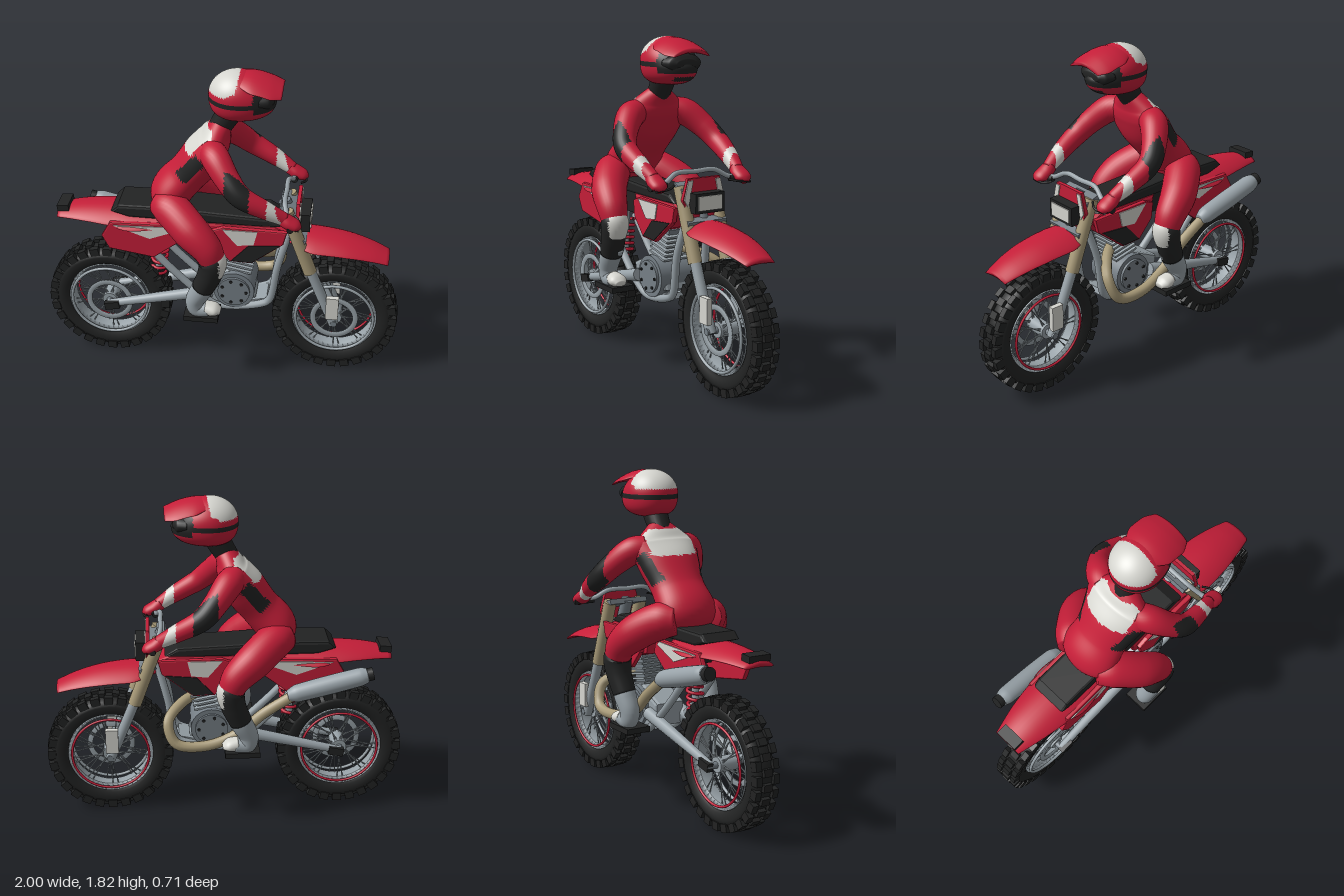
import * as THREE from 'three';
import { mergeGeometries, mergeVertices } from 'three/addons/utils/BufferGeometryUtils.js';

const V = (x, y, z = 0) => new THREE.Vector3(x, y, z);
const mat = (name, color) => {
  const m = new THREE.MeshStandardMaterial({ color });
  m.name = name;
  return m;
};

export function createModel() {
  const red = mat('red', 0xc41e38), black = mat('black', 0x222323), white = mat('white', 0xd6d6d0);
  const grey = mat('metal grey', 0x98a2a8), tan = mat('tan', 0xa89a78), steel = mat('dark steel', 0x767f86);
  const model = new THREE.Group();
  const add = (name, geo, material, parent = model) => {
    const m = new THREE.Mesh(geo, material);
    m.name = name;
    parent.add(m);
    return m;
  };
  const box = (w, h, d, x, y, z, rot = 0) => new THREE.BoxGeometry(w, h, d).rotateZ(rot).translate(x, y, z);
  const rod = (a, b, r, r2 = r, n = 14) => {
    const d = b.clone().sub(a);
    return new THREE.CylinderGeometry(r2, r, d.length(), n)
      .applyQuaternion(new THREE.Quaternion().setFromUnitVectors(V(0, 1, 0), d.clone().normalize()))
      .translate((a.x + b.x) / 2, (a.y + b.y) / 2, (a.z + b.z) / 2);
  };
  const tube = (pts, r, n = 40) =>
    new THREE.TubeGeometry(new THREE.CatmullRomCurve3(pts.map(p => V(...p))), n, r, 10);
  const disc = (r, d, x, y, z, n = 28) => new THREE.CylinderGeometry(r, r, d, n).rotateX(Math.PI / 2).translate(x, y, z);
  // Lathe about the z axis from [radius, z] points
  const turn = (pts, n = 48) =>
    new THREE.LatheGeometry(pts.map(p => new THREE.Vector2(...p)), n).rotateX(Math.PI / 2);
  // Flat side profile, extruded in z around zc
  const plate = (pts, depth, zc, bevel = 0) => {
    const s = new THREE.Shape(pts.map(p => new THREE.Vector2(...p)));
    return new THREE.ExtrudeGeometry(s, { depth: depth - 2 * bevel, bevelEnabled: bevel > 0, bevelSize: bevel,
      bevelThickness: bevel, bevelOffset: -bevel, bevelSegments: 2 }).translate(0, 0, zc - depth / 2 + bevel);
  };
  // Smooth body through sections [x, y, z, sideways radius, in-plane radius]
  const loft = (secs, steps = 32, n = 28) => {
    const path = new THREE.CatmullRomCurve3(secs.map(s => V(s[0], s[1], s[2])));
    const size = new THREE.CatmullRomCurve3(secs.map(s => V(s[3], s[4] ?? s[3], 0)));
    const pos = [], idx = [];
    for (let i = 0; i <= steps; i++) {
      const p = path.getPoint(i / steps), t = path.getTangent(i / steps), r = size.getPoint(i / steps);
      const u = V(0, 0, 1).addScaledVector(t, -t.z).normalize(), v = t.clone().cross(u);
      for (let j = 0; j < n; j++) {
        const a = (j / n) * 2 * Math.PI;
        pos.push(...p.clone().addScaledVector(u, r.x * Math.cos(a)).addScaledVector(v, r.y * Math.sin(a)).toArray());
        const k = i * n + j, k1 = i * n + (j + 1) % n;
        if (i < steps) idx.push(k, k1, k + n, k1, k1 + n, k + n);
      }
    }
    const end = pos.length / 3;
    pos.push(...path.getPoint(0).toArray(), ...path.getPoint(1).toArray());
    for (let j = 0; j < n; j++) {
      const j1 = (j + 1) % n, b = steps * n;
      idx.push(end, j1, j, end + 1, b + j, b + j1);
    }
    const g = new THREE.BufferGeometry();
    g.setAttribute('position', new THREE.Float32BufferAttribute(pos, 3));
    g.setIndex(idx);
    g.computeVertexNormals();
    return g;
  };
  const reshape = (g, rule) => {
    const p = g.attributes.position;
    for (let i = 0; i < p.count; i++) p.setXYZ(i, ...rule(p.getX(i), p.getY(i), p.getZ(i)));
    g.computeVertexNormals();
    return g;
  };
  // Sort faces into material groups by their centre
  const paint = (geo, count, rule) => {
    const p = geo.attributes.position, ix = geo.index.array, bins = Array.from({ length: count }, () => []);
    for (let i = 0; i < ix.length; i += 3) {
      const f = [ix[i], ix[i + 1], ix[i + 2]];
      const c = ['getX', 'getY', 'getZ'].map(k => f.reduce((s, v) => s + p[k](v) / 3, 0));
      bins[rule(...c)].push(...f);
    }
    geo.setIndex(bins.flat());
    let start = 0;
    bins.forEach((b, i) => { geo.addGroup(start, b.length, i); start += b.length; });
    return geo;
  };

  // Wheels
  const makeWheel = (name, x) => {
    const w = new THREE.Group();
    w.name = name;
    w.position.set(x, 0.355, 0);
    model.add(w);
    add('tyre', turn([[0.232, -0.045], [0.255, -0.063], [0.29, -0.069], [0.318, -0.06], [0.334, -0.03], [0.334, 0.03],
      [0.318, 0.06], [0.29, 0.069], [0.255, 0.063], [0.232, 0.045], [0.232, -0.045]]), black, w);
    const knobs = [], spokes = [];
    for (let i = 0; i < 28; i++) {
      const a = (i / 28) * 2 * Math.PI;
      for (const s of [-1, 1]) knobs.push(box(0.05, 0.045, 0.034, 0, 0.327, s * 0.053).rotateZ(a));
      knobs.push(box(0.04, 0.03, 0.05, 0, 0.339, 0).rotateZ(a + Math.PI / 28));
    }
    for (let i = 0; i < 18; i++) for (const s of [-1, 1]) {
      const a = ((i + s * 0.25) / 18) * 2 * Math.PI, b = a + (i % 2 ? 0.25 : -0.25);
      spokes.push(rod(V(0.035 * Math.cos(a), 0.035 * Math.sin(a), s * 0.05),
        V(0.222 * Math.cos(b), 0.222 * Math.sin(b), s * 0.025), 0.0035, 0.0035, 5));
    }
    add('treadKnobs', mergeGeometries(knobs), black, w);
    add('spokes', mergeGeometries(spokes), grey, w);
    add('rim', turn([[0.215, -0.03], [0.238, -0.06], [0.238, 0.06], [0.215, 0.03], [0.215, -0.03]]), grey, w);
    add('leftRimRing', new THREE.TorusGeometry(0.219, 0.009, 8, 56).translate(0, 0, 0.072), grey, w);
    add('rightRimRing', new THREE.TorusGeometry(0.215, 0.007, 8, 56).translate(0, 0, -0.072), red, w);
    add('hub', disc(0.042, 0.13, 0, 0, 0), grey, w);
    add('brakeDisc', turn([[0.105, 0.06], [0.135, 0.06], [0.135, 0.07], [0.105, 0.07], [0.105, 0.06]]), grey, w);
    add('axle', disc(0.018, 0.26, 0, 0, 0), steel, w);
  };
  makeWheel('rearWheel', -0.645);
  makeWheel('frontWheel', 0.645);

  // Fenders, arched across their width
  const fender = secs => reshape(loft(secs, 24, 32), (x, y, z) => [x, y - 2.2 * z * z, z]);
  add('frontFender', fender([[0.38, 0.875, 0, 0.09, 0.014], [0.52, 0.872, 0, 0.145, 0.016], [0.68, 0.85, 0, 0.135, 0.016],
    [0.82, 0.808, 0, 0.11, 0.016], [0.92, 0.765, 0, 0.085, 0.014]]), red);
  add('rearFender', fender([[-0.91, 0.925, 0, 0.085, 0.016], [-0.75, 0.955, 0, 0.125, 0.017],
    [-0.58, 0.967, 0, 0.15, 0.018], [-0.3, 0.965, 0, 0.15, 0.018]]), red);
  add('tailLight', box(0.065, 0.035, 0.13, -0.88, 0.955, 0, 0.1), black);

  // Seat, tank and bodywork
  add('seat', plate([[-0.6, 0.985], [-0.56, 1.025], [-0.3, 1.03], [0, 1.015], [0.26, 1.005], [0.33, 0.96], [0.2, 0.95],
    [-0.5, 0.955]], 0.22, 0, 0.015), black);
  add('tank', plate([[-0.08, 0.96], [0.3, 0.965], [0.38, 0.93], [0.3, 0.83], [0.14, 0.78], [-0.05, 0.83]], 0.23, 0, 0.02), red);
  add('underSeat', plate([[-0.55, 0.95], [-0.05, 0.95], [-0.1, 0.83], [-0.4, 0.83]], 0.14, 0), black);
  for (const s of [1, -1]) {
    const side = s > 0 ? 'left' : 'right';
    add(side + 'RearPanel', plate([[-0.65, 0.85], [-0.6, 0.94], [-0.2, 0.95], [-0.18, 0.87], [-0.36, 0.73], [-0.61, 0.77]],
      0.03, s * 0.135, 0.008), red);
    add(side + 'RearPanelPatch', plate([[-0.58, 0.925], [-0.24, 0.938], [-0.22, 0.92], [-0.38, 0.855]], 0.006, s * 0.152), white);
    add(side + 'Shroud', plate([[-0.04, 0.93], [0.02, 0.955], [0.37, 0.95], [0.35, 0.87], [0.18, 0.735], [0.06, 0.74],
      [-0.03, 0.84]], 0.03, s * 0.13, 0.008), red);
    add(side + 'ShroudWhitePatch', plate([[0.02, 0.945], [0.21, 0.945], [0.19, 0.86], [0.1, 0.85]], 0.006, s * 0.147), white);
    add(side + 'ShroudBlackPatch', plate([[0.16, 0.85], [0.33, 0.865], [0.18, 0.745], [0.07, 0.75]], 0.006, s * 0.147), black);
    // Fork
    add(side + 'ForkUpper', rod(V(0.36, 1.06, s * 0.1), V(0.5, 0.68, s * 0.1), 0.037, 0.037, 20), tan);
    add(side + 'ForkLower', rod(V(0.5, 0.69, s * 0.1), V(0.645, 0.34, s * 0.1), 0.029, 0.029, 20), grey);
    add(side + 'ForkGuard', box(0.07, 0.14, 0.03, 0.632, 0.465, s * 0.125), white);
    // Frame and swingarm
    add(side + 'FrameTube', tube([[0.39, 0.96, s * 0.05], [0.32, 0.7, s * 0.09], [0.275, 0.46, s * 0.09], [0.23, 0.43, s * 0.09],
      [0, 0.395, s * 0.08], [-0.1, 0.46, s * 0.09], [-0.25, 0.6, s * 0.09], [-0.4, 0.76, s * 0.09]], 0.022, 60), grey);
    add(side + 'Swingarm', rod(V(-0.05, 0.5, s * 0.1), V(-0.645, 0.355, s * 0.1), 0.036, 0.022), grey);
    add(side + 'AxleBlock', box(0.085, 0.045, 0.035, -0.62, 0.358, s * 0.115, 0.2), black);
    add(side + 'Footpeg', box(0.19, 0.03, 0.14, -0.08, 0.45, s * 0.24), black);
    add(side + 'Grip', rod(V(0.375, 1.08, s * 0.2), V(0.395, 1.075, s * 0.31), 0.018), black);
  }
  add('headTube', rod(V(0.34, 1.07, 0), V(0.43, 0.85, 0), 0.035), steel);
  for (const [x, y] of [[0.365, 1.05], [0.425, 0.89]]) add('forkClamp', box(0.09, 0.03, 0.24, x, y, 0, -0.35), steel);

  // Handlebar, front plate and lamp
  add('handlebar', tube([[0.385, 1.08, -0.28], [0.37, 1.09, -0.2], [0.35, 1.13, -0.12], [0.35, 1.13, 0], [0.35, 1.13, 0.12],
    [0.37, 1.09, 0.2], [0.385, 1.08, 0.28]], 0.014), grey);
  add('clutchLever', tube([[0.41, 1.08, 0.17], [0.44, 1.07, 0.22], [0.43, 1.06, 0.3]], 0.006, 12), black);
  add('brakeLever', tube([[0.41, 1.08, -0.17], [0.44, 1.07, -0.22], [0.43, 1.06, -0.3]], 0.006, 12), black);
  const front = (pts, d, x) => plate(pts, d, 0).rotateY(Math.PI / 2).translate(x, 0, 0);
  add('numberPlate', front([[-0.1, 1.11], [0.1, 1.11], [0.13, 1.0], [0.09, 0.87], [-0.09, 0.87], [-0.13, 1.0]], 0.02, 0.42), red);
  for (const s of [1, -1])
    add('numberPlateStripe', front([[s * 0.07, 1.1], [s * 0.1, 1.1], [s * 0.125, 1.0], [s * 0.1, 0.96]], 0.006, 0.434), white);
  add('lampHousing', box(0.06, 0.105, 0.18, 0.457, 0.985, 0), black);
  add('lampLens', box(0.008, 0.075, 0.145, 0.489, 0.985, 0), white);

  // Engine
  add('crankcase', disc(0.115, 0.22, 0.08, 0.52, 0, 32), steel);
  add('gearbox', plate([[-0.12, 0.56], [0.05, 0.64], [0.16, 0.6], [0.2, 0.46], [0.02, 0.4], [-0.1, 0.43]], 0.18, 0, 0.02), grey);
  add('engineCover', disc(0.09, 0.25, 0.08, 0.52, 0, 32), steel);
  const bolts = [];
  for (let i = 0; i < 7; i++) for (const s of [1, -1])
    bolts.push(disc(0.009, 0.008, 0.08 + 0.07 * Math.cos(i * 0.9), 0.52 + 0.07 * Math.sin(i * 0.9), s * 0.127, 8));
  add('coverBolts', mergeGeometries(bolts), black);
  add('cylinder', box(0.1, 0.22, 0.11, 0.115, 0.69, 0, -0.2), steel);
  const fins = [];
  for (let i = 0; i < 6; i++) fins.push(box(0.15, 0.011, 0.16, 0.1 + i * 0.006, 0.635 + i * 0.026, 0, -0.2));
  add('coolingFins', mergeGeometries(fins), grey);
  add('skidPlate', plate([[-0.03, 0.395], [0.02, 0.375], [0.27, 0.43], [0.26, 0.46]], 0.15, 0), grey);

  // Exhaust on the right side
  add('exhaustPipe', tube([[0.13, 0.7, 0], [0.24, 0.67, -0.08], [0.32, 0.6, -0.18], [0.28, 0.49, -0.22], [0.12, 0.47, -0.22],
    [-0.06, 0.53, -0.2], [-0.2, 0.65, -0.2], [-0.36, 0.76, -0.21]], 0.03, 60), tan);
  add('muffler', loft([[-0.33, 0.757, -0.21, 0.03], [-0.38, 0.772, -0.21, 0.048], [-0.55, 0.816, -0.21, 0.052],
    [-0.72, 0.86, -0.21, 0.05], [-0.76, 0.87, -0.21, 0.04]]), grey);
  add('mufflerTip', rod(V(-0.75, 0.868, -0.21), V(-0.79, 0.878, -0.21), 0.036), black);

  // Rear shock
  add('shockRod', rod(V(-0.37, 0.5, 0), V(-0.34, 0.85, 0), 0.02), grey);
  const coil = [];
  for (let i = 0; i <= 72; i++) {
    const a = i * 0.52;
    coil.push([-0.365 + i * 0.0003 + 0.042 * Math.cos(a), 0.54 + i * 0.003, 0.042 * Math.sin(a)]);
  }
  add('shockSpring', tube(coil, 0.009, 180), red);

  // Rider's torso, with a white yoke and dark side panels
  add('riderTorso', paint(loft([[-0.28, 1.0, 0, 0.13, 0.08], [-0.275, 1.09, 0, 0.17, 0.115], [-0.19, 1.2, 0, 0.155, 0.108],
    [-0.1, 1.32, 0, 0.18, 0.115], [-0.04, 1.42, 0, 0.2, 0.09], [-0.02, 1.47, 0, 0.14, 0.07], [0.01, 1.53, 0, 0.06, 0.05]], 60, 48),
  3, (x, y, z) => {
    if (y > 1.38 && y < 1.51 && x < -0.04 && Math.abs(z) < 0.14) return 1;
    const q = (x + 0.15) * 0.65 + (y - 1.31) * 0.76, w = (x + 0.15) * 0.76 - (y - 1.31) * 0.65;
    return Math.abs(z) > 0.08 && Math.abs(q) < 0.09 && Math.abs(w) < 0.035 ? 2 : 0;
  }), [red, white, black]);
  add('riderNeck', rod(V(-0.015, 1.49, 0), V(0.06, 1.62, 0), 0.06, 0.07, 24), black);

  for (const s of [1, -1]) {
    const side = s > 0 ? 'Left' : 'Right';
    // Arms
    add('rider' + side + 'Arm', paint(loft([[-0.045, 1.41, s * 0.11, 0.07], [-0.01, 1.395, s * 0.175, 0.075],
      [0.06, 1.32, s * 0.25, 0.066], [0.13, 1.25, s * 0.29, 0.06], [0.25, 1.18, s * 0.285, 0.05], [0.36, 1.115, s * 0.265, 0.036]],
    60, 28), 3, (x, y, z) => x > 0.27 && x + 0.4 * y < 0.79 ? 1 : x > 0.05 && x < 0.18 && s * z > 0.285 ? 2 : 0), [red, white, black]);
    add('rider' + side + 'Hand', loft([[0.34, 1.125, s * 0.265, 0.036], [0.38, 1.1, s * 0.265, 0.048, 0.036],
      [0.42, 1.08, s * 0.265, 0.045, 0.03], [0.435, 1.06, s * 0.265, 0.02]], 16), red);
    add('rider' + side + 'Knuckles', box(0.035, 0.02, 0.075, 0.412, 1.082, s * 0.265, -0.5), black);
    // Legs
    add('rider' + side + 'Thigh', loft([[-0.32, 1.06, s * 0.09, 0.08], [-0.25, 1.05, s * 0.15, 0.1], [-0.14, 0.98, s * 0.235, 0.098],
      [-0.05, 0.9, s * 0.27, 0.084], [-0.015, 0.83, s * 0.275, 0.07]]), red);
    add('rider' + side + 'KneeGuard', paint(loft([[-0.035, 0.87, s * 0.275, 0.06], [-0.015, 0.82, s * 0.275, 0.077],
      [-0.03, 0.74, s * 0.275, 0.068], [-0.07, 0.64, s * 0.265, 0.062]]), 2,
    (x, y) => (y > 0.74 && x > 0.025 ? 1 : 0)), [black, white]);
    add('rider' + side + 'Boot', loft([[-0.045, 0.69, s * 0.265, 0.062], [-0.08, 0.62, s * 0.265, 0.06], [-0.115, 0.545, s * 0.26, 0.053],
      [-0.105, 0.495, s * 0.26, 0.048, 0.05], [-0.04, 0.495, s * 0.26, 0.048, 0.04]]), grey);
    add('rider' + side + 'Toe', loft([[-0.06, 0.5, s * 0.26, 0.046, 0.04], [-0.01, 0.495, s * 0.26, 0.052, 0.034],
      [0.025, 0.485, s * 0.26, 0.03, 0.015]], 12), white);
  }

  // Helmet with a stretched chin, white crown patch and dark eye opening
  const shell = mergeVertices(new THREE.SphereGeometry(1, 64, 48).deleteAttribute('uv').deleteAttribute('normal'));
  reshape(shell, (x, y, z) => {
    const k = x > 0 ? 1 + 0.35 * Math.min(1, Math.max(0, (0.5 - y) / 0.7)) : 1;
    const low = y < 0 ? 1 + 0.35 * y * y : 1;
    return [0.08 + x * 0.152 * k * low, 1.69 + Math.max(y, -0.92) * 0.13, z * 0.143 * low];
  });
  add('helmetShell', paint(shell, 3, (x, y, z) => {
    if (x > 0.17 && y > 1.635 && y < 1.75) return 2;
    if (y > 1.665 && y < 1.69) return 2;
    if (x > 0.22 && y > 1.59 && y < 1.615 && Math.abs(z) < 0.06) return 2;
    return y > 1.72 && x < 0.08 + 0.2 * (y - 1.75) && Math.abs(z) < 0.13 ? 1 : 0;
  }), [red, white, black]);
  add('goggles', loft([[0.2, 1.685, 0, 0.115, 0.05], [0.25, 1.685, 0, 0.1, 0.05], [0.275, 1.685, 0, 0.06, 0.02]], 12), black);
  add('helmetPeak', reshape(loft([[0.08, 1.8, 0, 0.09, 0.014], [0.17, 1.8, 0, 0.138, 0.014], [0.25, 1.78, 0, 0.138, 0.013],
    [0.315, 1.752, 0, 0.11, 0.012]], 20, 32), (x, y, z) => [x, y - 2.4 * z * z, z]), red);
  return model;
}
